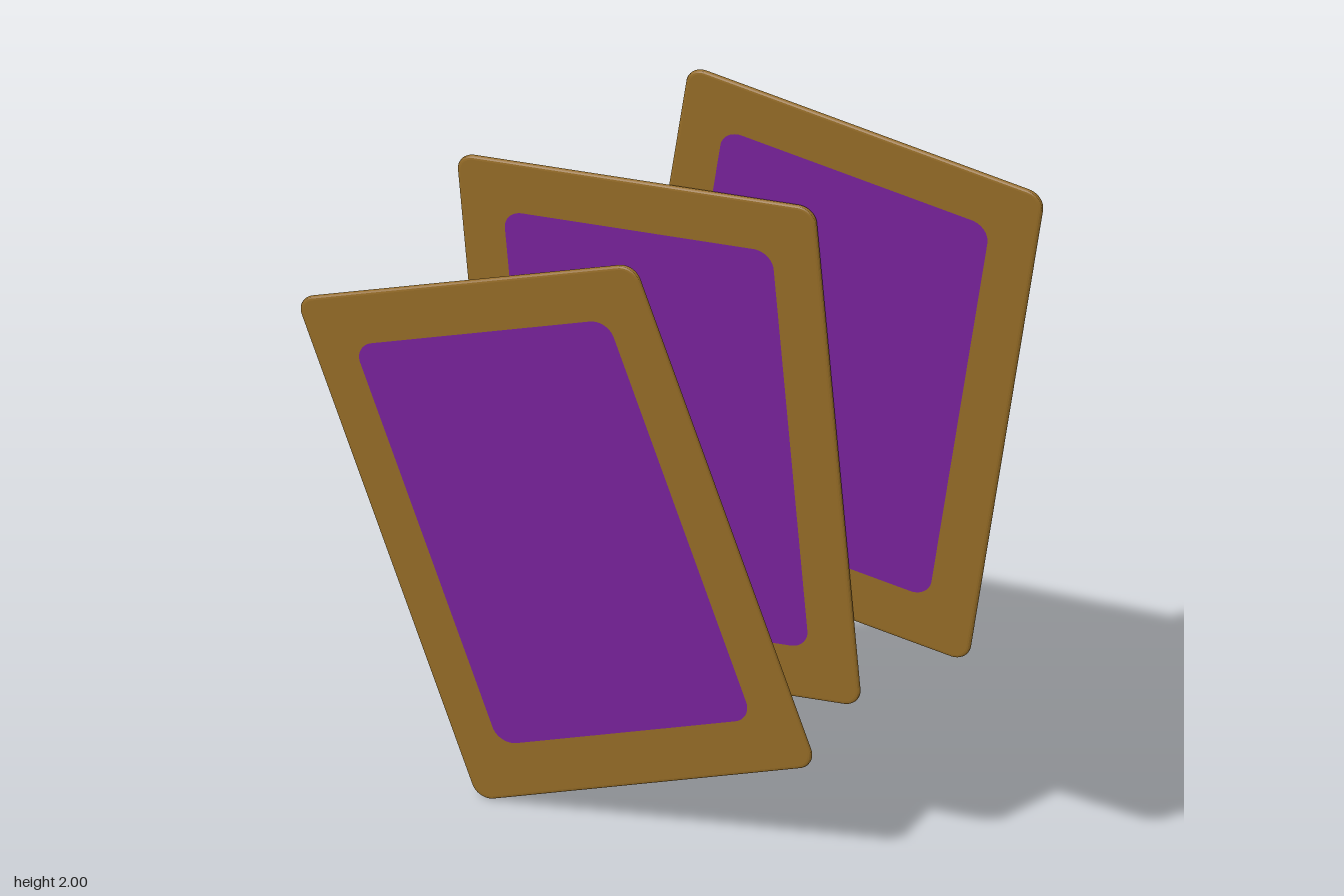
import * as THREE from 'three';

const W = 0.86, H = 1.275, T = 0.013, BEVEL = 0.008;

const brown = new THREE.MeshStandardMaterial({ color: 0x946b26 });
brown.name = 'golden brown';
const purple = new THREE.MeshStandardMaterial({ color: 0x77229a });
purple.name = 'deep purple';
const violet = new THREE.MeshStandardMaterial({ color: 0xb050d8 });
violet.name = 'light violet';

// Rectangle with rounded corners, centred on the origin
function roundedRect(w, h, r) {
  const x = w / 2, y = h / 2, s = new THREE.Shape();
  s.absarc(x - r, y - r, r, 0, Math.PI / 2);
  s.absarc(-x + r, y - r, r, Math.PI / 2, Math.PI);
  s.absarc(-x + r, -y + r, r, Math.PI, Math.PI * 1.5);
  s.absarc(x - r, -y + r, r, Math.PI * 1.5, Math.PI * 2);
  s.closePath();
  return s;
}

// Card body with rounded rim
const bodyGeo = new THREE.ExtrudeGeometry(roundedRect(W - 2 * BEVEL, H - 2 * BEVEL, 0.033), {
  depth: 0.003, bevelThickness: (T - 0.003) / 2, bevelSize: BEVEL, bevelSegments: 3, curveSegments: 8,
});
bodyGeo.center();

// Painted front panel and back spots
const panelGeo = new THREE.ShapeGeometry(roundedRect(0.645, 1.015, 0.045), 8);
const spotShape = new THREE.Shape();
spotShape.absellipse(0, 0, 0.052, 0.034, 0, Math.PI * 2, false, 0);
const spotGeo = new THREE.ShapeGeometry(spotShape, 12);

function add(parent, name, geo, mat, x, y, z) {
  const m = new THREE.Mesh(geo, mat);
  m.name = name;
  m.position.set(x, y, z);
  parent.add(m);
  return m;
}

function makeCard(name, x, y, z, degrees) {
  const card = new THREE.Group();
  card.name = name;
  add(card, 'cardBody', bodyGeo, brown, 0, 0, 0);
  add(card, 'frontPanel', panelGeo, purple, -0.004, 0.003, T / 2 + 0.0008);
  for (const side of [-1, 1]) {
    const spot = add(card, side > 0 ? 'leftBackSpot' : 'rightBackSpot', spotGeo, violet,
      side * (W / 2 - 0.105), -H / 2 + 0.067, -T / 2 - 0.0008);
    // Turned to face backwards, then tilted
    spot.rotation.set(0, Math.PI, -Math.PI / 7);
    spot.rotation.order = 'ZYX';
    spot.rotation.z = Math.PI / 7;
  }
  card.position.set(x, y, z);
  card.rotation.z = THREE.MathUtils.degToRad(degrees);
  return card;
}

export function createModel() {
  const model = new THREE.Group();
  model.name = 'fannedCards';
  model.add(
    makeCard('frontCard', -0.27, 0.737, 0.021, 20),
    makeCard('middleCard', -0.036, 1.048, -0.006, 5),
    makeCard('rearCard', 0.3625, 1.3125, -0.0215, -8.3),
  );
  return model;
}
